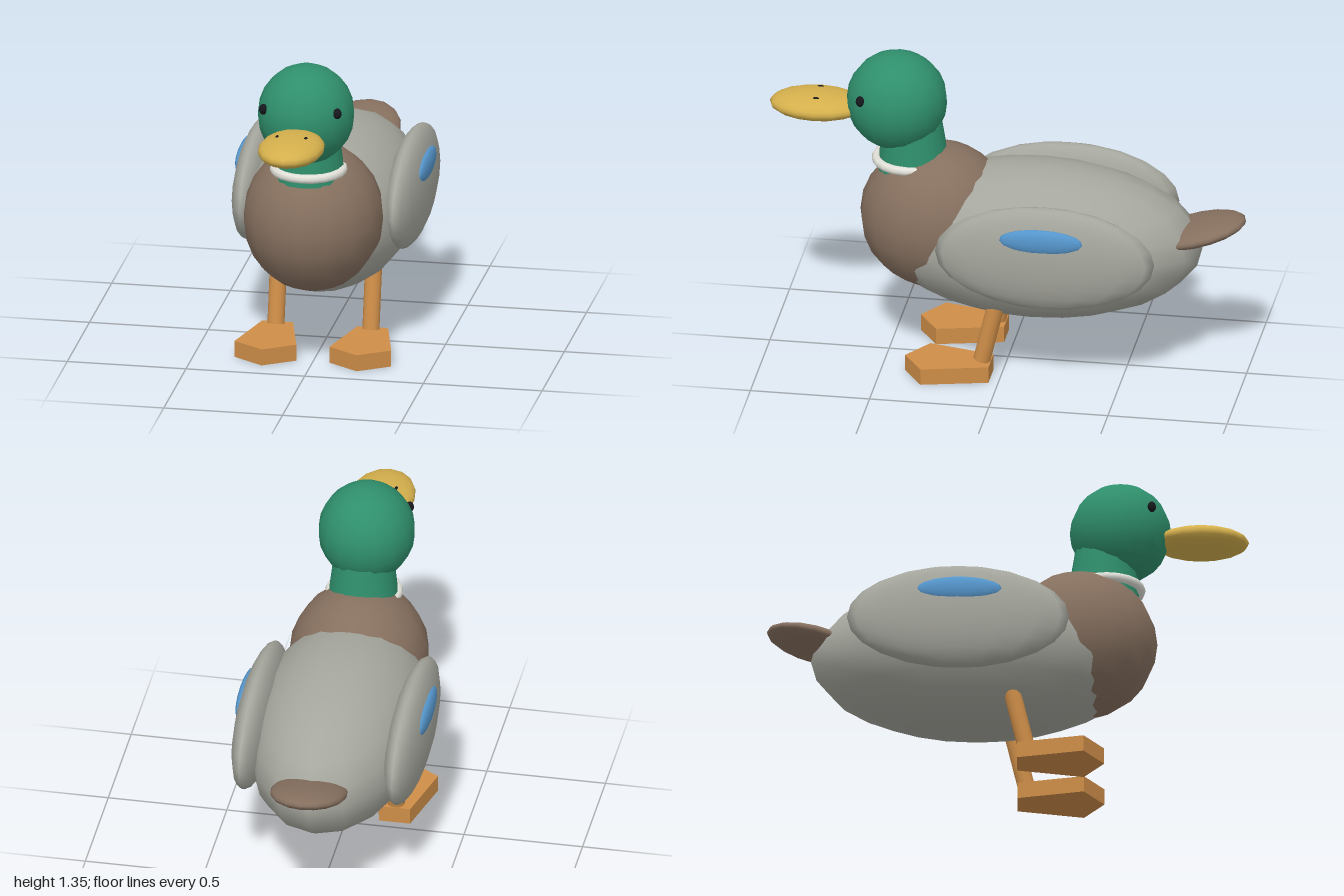
import * as THREE from 'three';

const mat = (name, color) => {
  const m = new THREE.MeshStandardMaterial({ color });
  m.name = name;
  return m;
};

export function createModel() {
  const green = mat('green', 0x2f8f6c);
  const brown = mat('brown', 0x86705f);
  const grey = mat('grey', 0xa5a69d);
  const yellow = mat('yellow', 0xd4af4c);
  const orange = mat('orange', 0xcd8d48);
  const blue = mat('blue', 0x5596cc);
  const white = mat('white', 0xe2e2da);
  const black = mat('black', 0x16181d);

  const duck = new THREE.Group();
  duck.name = 'duck';

  const add = (name, geometry, material, position = [0, 0, 0]) => {
    const mesh = new THREE.Mesh(geometry, material);
    mesh.name = name;
    mesh.position.set(...position);
    duck.add(mesh);
    return mesh;
  };
  // Ellipsoid from its centre and three radii
  const ellipsoid = (name, material, position, radii, w = 16, h = 12) => {
    const geometry = new THREE.SphereGeometry(1, w, h).scale(...radii);
    return add(name, geometry, material, position);
  };
  // Tapered cylinder between two points
  const limb = (name, material, from, to, rFrom, rTo, sides) => {
    const a = new THREE.Vector3(...from);
    const b = new THREE.Vector3(...to);
    const dir = b.clone().sub(a);
    const mesh = add(name, new THREE.CylinderGeometry(rTo, rFrom, dir.length(), sides), material);
    mesh.position.copy(a).add(b).multiplyScalar(0.5);
    mesh.quaternion.setFromUnitVectors(new THREE.Vector3(0, 1, 0), dir.normalize());
    return mesh;
  };

  // Body, breast and upturned tail
  ellipsoid('body', grey, [0, 0.56, -0.125], [0.36, 0.33, 0.69]);
  ellipsoid('breast', brown, [0, 0.635, 0.3], [0.292, 0.312, 0.32]);
  ellipsoid('tail', brown, [0, 0.64, -0.795], [0.16, 0.045, 0.21]).rotation.x = 0.27;

  // Neck with a pale collar
  limb('neck', green, [0, 0.845, 0.395], [0, 1.06, 0.405], 0.15, 0.125, 16);
  add('collar', new THREE.TorusGeometry(0.142, 0.02, 8, 20).rotateX(Math.PI / 2), white, [0, 0.882, 0.41]);

  // Head and bill
  ellipsoid('head', green, [0, 1.142, 0.467], [0.202, 0.21, 0.21]);
  ellipsoid('bill', yellow, [0, 1.1, 0.8], [0.137, 0.055, 0.2]);

  // Webbed foot outline: x across, second value is z
  const footOutline = [[0, 0.4], [0.13, 0.315], [0.065, 0.04], [-0.065, 0.04], [-0.13, 0.315]];
  const footShape = new THREE.Shape(footOutline.map(([x, z]) => new THREE.Vector2(x, -z)));
  const footGeometry = new THREE.ExtrudeGeometry(footShape, { depth: 0.07, bevelEnabled: false })
    .rotateX(-Math.PI / 2);

  // Paired parts
  for (const [side, s] of [['left', 1], ['right', -1]]) {
    ellipsoid(side + 'Eye', black, [s * 0.156, 1.194, 0.597], [0.018, 0.023, 0.018], 10, 8);
    ellipsoid(side + 'Nostril', black, [s * 0.06, 1.148, 0.797], [0.007, 0.006, 0.014], 8, 6);
    ellipsoid(side + 'Wing', grey, [s * 0.322, 0.615, -0.205], [0.08, 0.23, 0.46]);
    ellipsoid(side + 'WingPatch', blue, [s * 0.382, 0.714, -0.2], [0.026, 0.056, 0.18], 16, 10);
    limb(side + 'Leg', orange, [s * 0.2, 0.075, 0.078], [s * 0.2, 0.4, 0.002], 0.036, 0.036, 12);
    add(side + 'Foot', footGeometry, orange, [s * 0.2, 0, 0]);
  }
  return duck;
}
